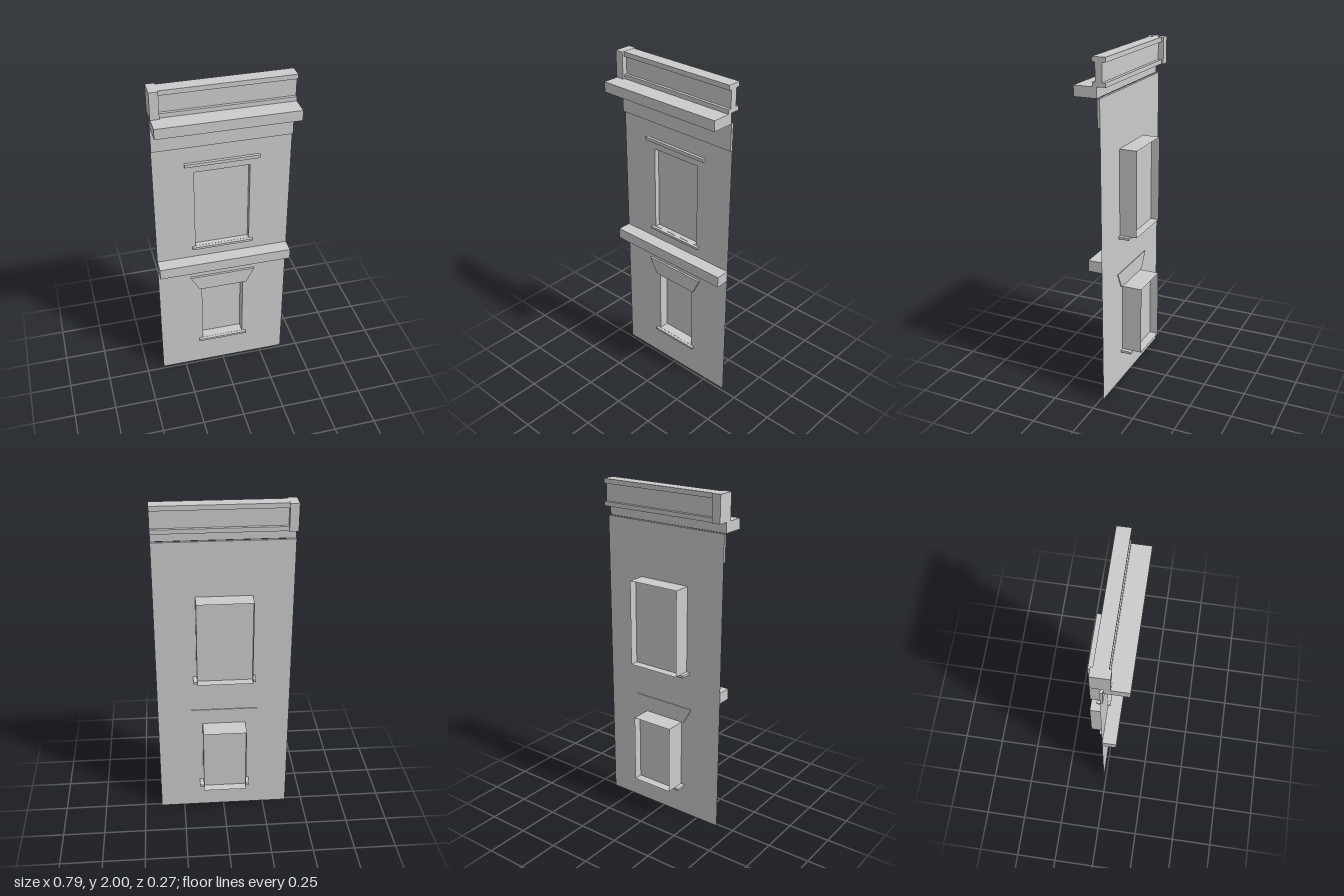
import * as THREE from 'three';

const grey = new THREE.MeshStandardMaterial({ color: 0xcccccc });
const greyThin = new THREE.MeshStandardMaterial({ color: 0xcccccc, side: THREE.DoubleSide });
const X0 = -0.395, X1 = 0.395, WALL_Z = -0.015;

export function createModel() {
  const group = new THREE.Group();

  const add = (name, geometry, material = grey) => {
    const mesh = new THREE.Mesh(geometry, material);
    mesh.name = name;
    group.add(mesh);
    return mesh;
  };
  // Box given by its limits on each axis
  const box = (name, x0, x1, y0, y1, z0, z1) =>
    add(name, new THREE.BoxGeometry(x1 - x0, y1 - y0, z1 - z0))
      .position.set((x0 + x1) / 2, (y0 + y1) / 2, (z0 + z1) / 2);
  const polygon = (points) => points.map(([x, y]) => new THREE.Vector2(x, y));
  const rect = (x0, x1, y0, y1) => polygon([[x0, y0], [x1, y0], [x1, y1], [x0, y1]]);

  const windows = [
    { name: 'lowerWindow', x0: -0.13, x1: 0.128, y0: 0.2, y1: 0.617, back: -0.137, pane: [-0.085, -0.075], sill: [-0.155, 0.151] },
    { name: 'upperWindow', x0: -0.163, x1: 0.159, y0: 0.95, y1: 1.46, back: -0.12, pane: [-0.07, -0.045], sill: [-0.183, 0.18] },
  ];

  // Thin wall sheet with window openings
  const wall = new THREE.Shape(rect(X0, X1, 0, 1.63));
  windows.forEach((w) => wall.holes.push(new THREE.Path(rect(w.x0, w.x1, w.y0, w.y1))));
  add('wall', new THREE.ShapeGeometry(wall), greyThin).position.z = WALL_Z;

  // Window reveals, panes and sills
  windows.forEach((w) => {
    const width = w.x1 - w.x0, height = w.y1 - w.y0, depth = WALL_Z - w.back;
    const cx = (w.x0 + w.x1) / 2, cy = (w.y0 + w.y1) / 2, cz = (WALL_Z + w.back) / 2;
    [w.x0, w.x1].forEach((x) => {
      const side = add(w.name + 'Jamb', new THREE.PlaneGeometry(depth, height), greyThin);
      side.rotation.y = Math.PI / 2;
      side.position.set(x, cy, cz);
    });
    [w.y0, w.y1].forEach((y) => {
      const flat = add(w.name + 'Reveal', new THREE.PlaneGeometry(width, depth), greyThin);
      flat.rotation.x = -Math.PI / 2;
      flat.position.set(cx, y, cz);
    });
    box(w.name + 'Pane', w.x0, w.x1, w.y0, w.y1, ...w.pane);
    box(w.name + 'Sill', ...w.sill, w.y0 - 0.015, w.y0 - 0.001, -0.08, 0.003);
  });

  // Flared lintel over the lower window
  const lintel = new THREE.Shape(polygon([[-0.147, 0.62], [0.147, 0.62], [0.195, 0.717], [-0.2, 0.717]]));
  add('lowerLintel', new THREE.ExtrudeGeometry(lintel, { depth: 0.018, bevelEnabled: false })).position.z = -0.02;

  // Horizontal mouldings
  box('upperLintel', -0.217, 0.212, 1.506, 1.525, -0.0145, 0.003);
  box('beltCourse', X0, X1, 0.81, 0.875, -0.0145, 0.068);
  box('frieze', X0, X1, 1.63, 1.785, WALL_Z, 0);
  box('cornice', X0, X1, 1.785, 1.845, 0.003, 0.135);

  // Parapet with base rail, panel and cap
  box('parapetBase', X0, X1, 1.845, 1.87, -0.05, 0.027);
  box('parapetPanel', X0, X1, 1.87, 1.972, -0.03, 0.01);
  box('parapetCap', X0, X1, 1.972, 1.999, -0.05, 0.027);
  box('parapetPost', X0 - 0.001, -0.346, 1.845, 2, -0.062, 0.04);

  return group;
}
